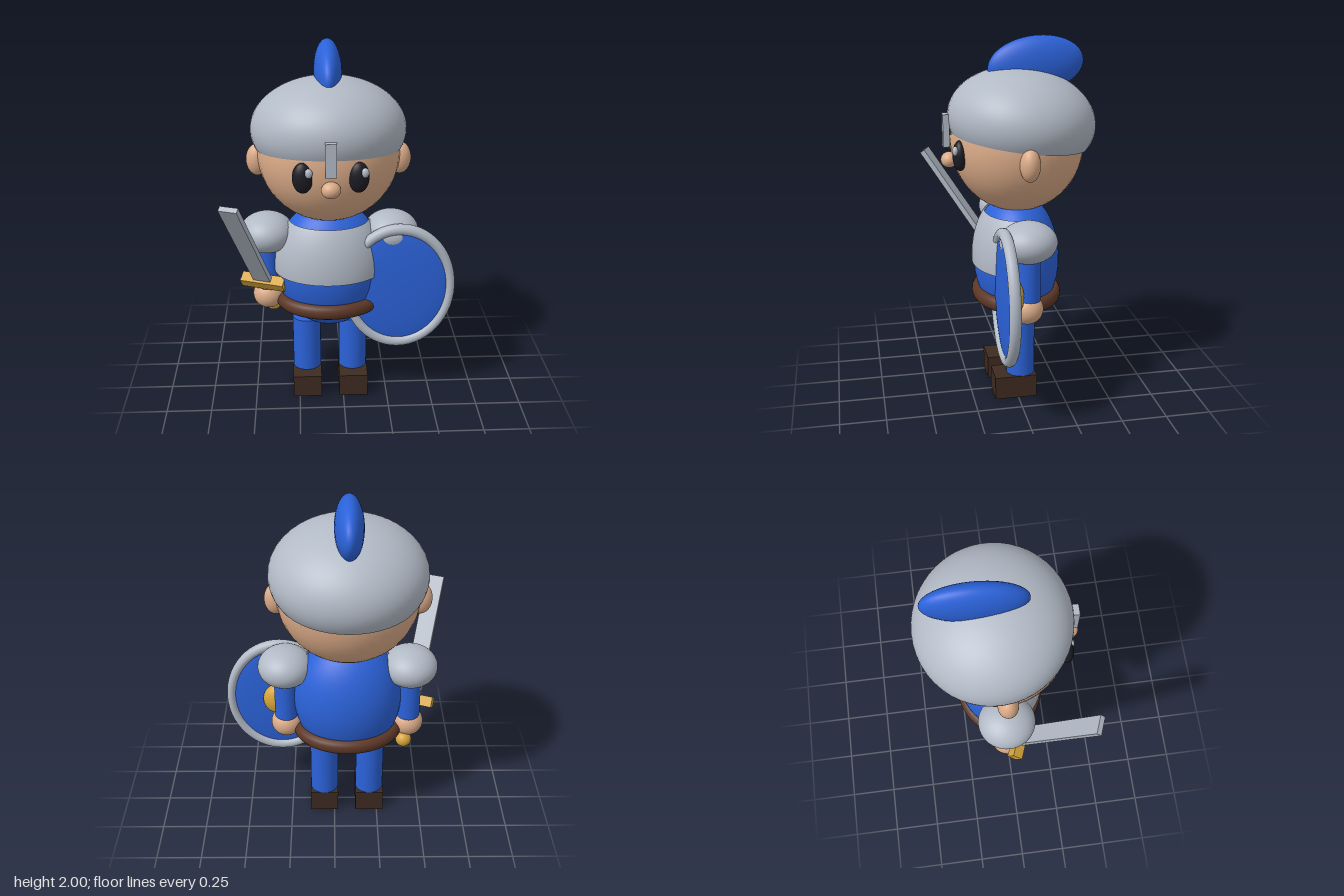
import * as THREE from 'three';

export function createModel() {
  const model = new THREE.Group();
  const CX = -0.073; // body axis
  const CZ = -0.025;

  const mat = (name, color, side = THREE.FrontSide) => {
    const m = new THREE.MeshStandardMaterial({ color, side });
    m.name = name;
    return m;
  };
  const blue = mat('blue cloth', 0x2b62d9);
  const silver = mat('silver', 0xb2bac6, THREE.DoubleSide);
  const skin = mat('skin', 0xdbab88);
  const boot = mat('dark brown leather', 0x3d2b20);
  const leather = mat('brown leather', 0x5c3726);
  const gold = mat('gold', 0xd6a53c);
  const black = mat('eye black', 0x1b1b24);

  const add = (name, geometry, material, x, y, z, parent = model) => {
    const mesh = new THREE.Mesh(geometry, material);
    mesh.name = name;
    mesh.position.set(x, y, z);
    parent.add(mesh);
    return mesh;
  };
  const ball = (name, material, pos, radii, parent = model) => {
    const mesh = add(name, new THREE.SphereGeometry(1, 40, 28), material, ...pos, parent);
    mesh.scale.set(...radii);
    return mesh;
  };

  // Head and face
  ball('head', skin, [CX, 1.44, -0.03], [0.38, 0.38, 0.36]);
  ball('nose', skin, [CX, 1.351, 0.34], [0.05, 0.043, 0.045]);

  // Helmet: a flattened dome reaching past its widest line, tilted back
  const helmet = add('helmet', new THREE.SphereGeometry(1, 48, 28, 0, Math.PI * 2, 0, 1.955),
    silver, CX, 1.555, -0.055);
  helmet.scale.set(0.414, 0.28, 0.4);
  helmet.rotation.x = -0.13;
  add('noseGuard', new THREE.BoxGeometry(0.058, 0.175, 0.035), silver, CX, 1.513, 0.355);
  const plume = ball('plume', blue, [CX, 1.847, -0.132], [0.075, 0.151, 0.26]);
  plume.rotation.x = 0.1;

  // Torso, with a breastplate shell over the front half
  ball('torso', blue, [CX, 0.78, CZ], [0.3, 0.37, 0.237]);
  const plate = add('breastplate',
    new THREE.SphereGeometry(1, 40, 16, 0.05, Math.PI - 0.1, 0.783, 0.853), silver, CX, 0.78, CZ);
  plate.scale.set(0.309, 0.381, 0.247);
  const belt = add('belt', new THREE.TorusGeometry(0.265, 0.042, 16, 48).rotateX(Math.PI / 2),
    leather, CX, 0.578, CZ);
  belt.scale.z = 0.81;

  // Mirrored parts
  for (const s of [-1, 1]) {
    const side = s > 0 ? 'left' : 'right';
    ball(side + 'Ear', skin, [CX + s * 0.38, 1.395, CZ], [0.06, 0.087, 0.053]);
    ball(side + 'Eye', black, [CX + s * 0.141, 1.404, 0.3], [0.053, 0.081, 0.038]);
    ball(side + 'EyeGlint', silver, [CX + s * 0.141 + 0.03, 1.436, 0.327], [0.02, 0.025, 0.016]);
    ball(side + 'Pauldron', silver, [CX + s * 0.343, 0.975, CZ], [0.15, 0.111, 0.154]);
    add(side + 'Arm', new THREE.CylinderGeometry(0.065, 0.065, 0.33, 28), blue,
      CX + s * 0.343, 0.785, CZ);
    ball(side + 'Hand', skin, [CX + s * 0.343, 0.6, -0.02], [0.087, 0.083, 0.087]);
    add(side + 'Leg', new THREE.CylinderGeometry(0.08, 0.08, 0.34, 28), blue,
      CX + s * 0.132, 0.28, CZ);
    add(side + 'Boot', new THREE.BoxGeometry(0.162, 0.13, 0.236), boot,
      CX + s * 0.132, 0.065, 0.013);
  }

  // Sword, leaning forward and outward from the right hand
  const sword = new THREE.Group();
  sword.name = 'sword';
  sword.position.set(-0.414, 0.6, -0.02);
  sword.rotation.set(0.603, -0.36, 0, 'YXZ');
  model.add(sword);
  add('blade', new THREE.BoxGeometry(0.1, 0.7, 0.03), silver, 0, 0.49, 0, sword);
  add('crossguard', new THREE.BoxGeometry(0.25, 0.06, 0.06), gold, 0, 0.127, 0, sword);
  add('grip', new THREE.CylinderGeometry(0.028, 0.028, 0.22, 16), leather, 0, 0, 0, sword);
  ball('pommel', gold, [0, -0.108, 0], [0.045, 0.045, 0.045], sword);

  // Shield carried in front of the left arm
  const shield = new THREE.Group();
  shield.name = 'shield';
  shield.position.set(0.306, 0.687, 0.105);
  model.add(shield);
  ball('shieldFace', blue, [0, 0, 0], [0.288, 0.345, 0.03], shield);
  const rim = add('shieldRim', new THREE.TorusGeometry(0.343, 0.031, 16, 56), silver, 0, 0, 0, shield);
  rim.scale.x = 0.832;
  ball('shieldBoss', gold, [0, 0.005, -0.038], [0.1, 0.1, 0.06], shield);

  return model;
}
